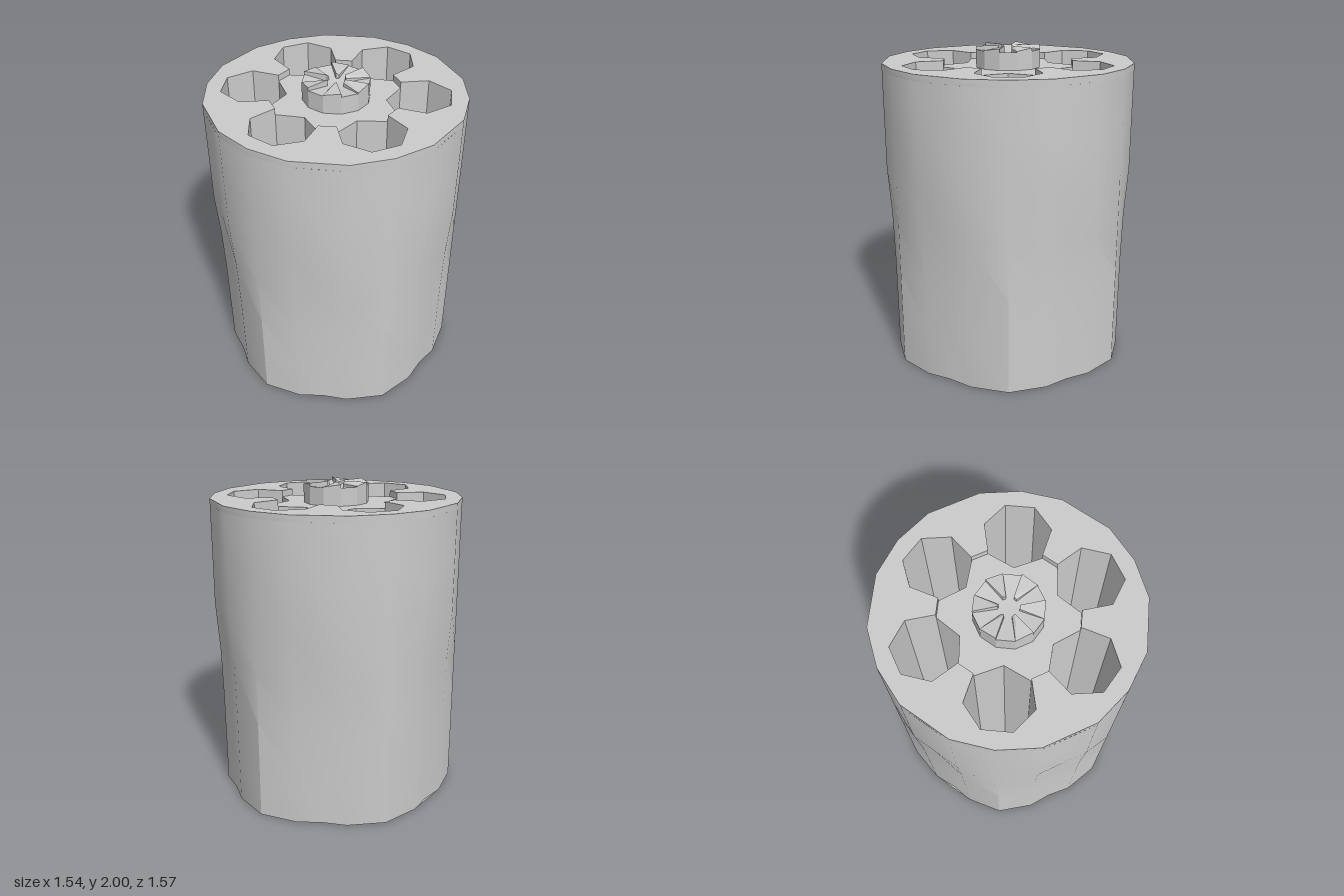
import * as THREE from 'three';
import { toCreasedNormals } from 'three/addons/utils/BufferGeometryUtils.js';

const DEG = Math.PI / 180;
const DECK = 1.87, RIM_TOP = 1.91;
const polar = (r, deg) => new THREE.Vector2(r * Math.cos(deg * DEG), r * Math.sin(deg * DEG));

// Seven-sided chamber, first corner pointing at the axis
function chamberPoints(i) {
  const axis = 30 + 60 * i, centre = polar(0.5, axis);
  return Array.from({ length: 7 }, (_, k) => polar(0.2, axis + 180 + k * 360 / 7).add(centre));
}

// Round outline with a flat between every pair of chambers
function outline() {
  const pts = [];
  for (let i = 0; i < 6; i++) for (const a of [0, 12, 30, 48]) pts.push(polar(0.78, a + 60 * i));
  return new THREE.Shape(pts);
}

// Outer radius: shallow flutes between the chambers that fade out upwards
function outerRadius(angle, y) {
  const a = (((angle / DEG) % 60) + 60) % 60;
  const off = Math.min(a, 60 - a);
  const cut = THREE.MathUtils.clamp((1.25 - y) / 0.4, 0, 1) * (0.8 + 0.2 * (1 - y / 1.25));
  if (off < 5) return THREE.MathUtils.lerp(0.77, 0.728, cut);
  if (off < 20) return THREE.MathUtils.lerp(0.788, 0.757, cut);
  return 0.785;
}

// Upright extrusion from y0 to y1
function extrudeUp(shape, y0, y1, steps = 1) {
  const geo = new THREE.ExtrudeGeometry(shape, { depth: y1 - y0, steps, bevelEnabled: false });
  return geo.rotateX(-Math.PI / 2).translate(0, y0, 0);
}

function shapeOuterWall(geo) {
  const p = geo.attributes.position;
  for (let i = 0; i < p.count; i++) {
    const x = p.getX(i), y = p.getY(i), z = p.getZ(i);
    if (Math.hypot(x, z) < 0.72) continue;
    const angle = Math.atan2(z, x), r = outerRadius(angle, y);
    p.setXYZ(i, r * Math.cos(angle), y, r * Math.sin(angle));
  }
  return geo;
}

export function createModel() {
  const group = new THREE.Group();
  const material = new THREE.MeshStandardMaterial({ color: 0xcccccc });
  const add = (name, geo, parent = group) => {
    const mesh = new THREE.Mesh(toCreasedNormals(geo, 28 * DEG), material);
    mesh.name = name;
    parent.add(mesh);
    return mesh;
  };

  // Fluted drum with six through chambers
  const drum = outline();
  for (let i = 0; i < 6; i++) drum.holes.push(new THREE.Path(chamberPoints(i)));
  add('drum', shapeOuterWall(extrudeUp(drum, 0, DECK, 6)));

  // Raised rim and webs around the recessed centre
  const rim = outline();
  const opening = [];
  for (let i = 0; i < 6; i++) {
    // Corners 1..6 run counter-clockwise round the outer part of the chamber
    opening.push(...chamberPoints(i).slice(1));
  }
  rim.holes.push(new THREE.Path(opening));
  add('rim', shapeOuterWall(extrudeUp(rim, DECK, RIM_TOP)));

  // Central boss with a dished top
  const profile = [[0.205, DECK - 0.01], [0.205, 1.98], [0.07, 1.962], [0, 1.962]]
    .map(([r, y]) => new THREE.Vector2(r, y));
  add('boss', new THREE.LatheGeometry(profile, 12, 15 * DEG));

  // Six ratchet teeth, each sloping down to one side
  const teeth = new THREE.Group();
  teeth.name = 'ratchetTeeth';
  group.add(teeth);
  const wedge = new THREE.Shape([polar(0.205, -15), polar(0.205, 15), polar(0.06, 9), polar(0.06, -9)]);
  const tooth = extrudeUp(wedge, 1.95, 2);
  const p = tooth.attributes.position;
  for (let i = 0; i < p.count; i++) {
    if (p.getY(i) > 1.99 && p.getZ(i) > 0) p.setY(i, 1.985);
  }
  for (let i = 0; i < 6; i++) add('tooth', tooth, teeth).rotation.y = i * 60 * DEG;

  return group;
}
